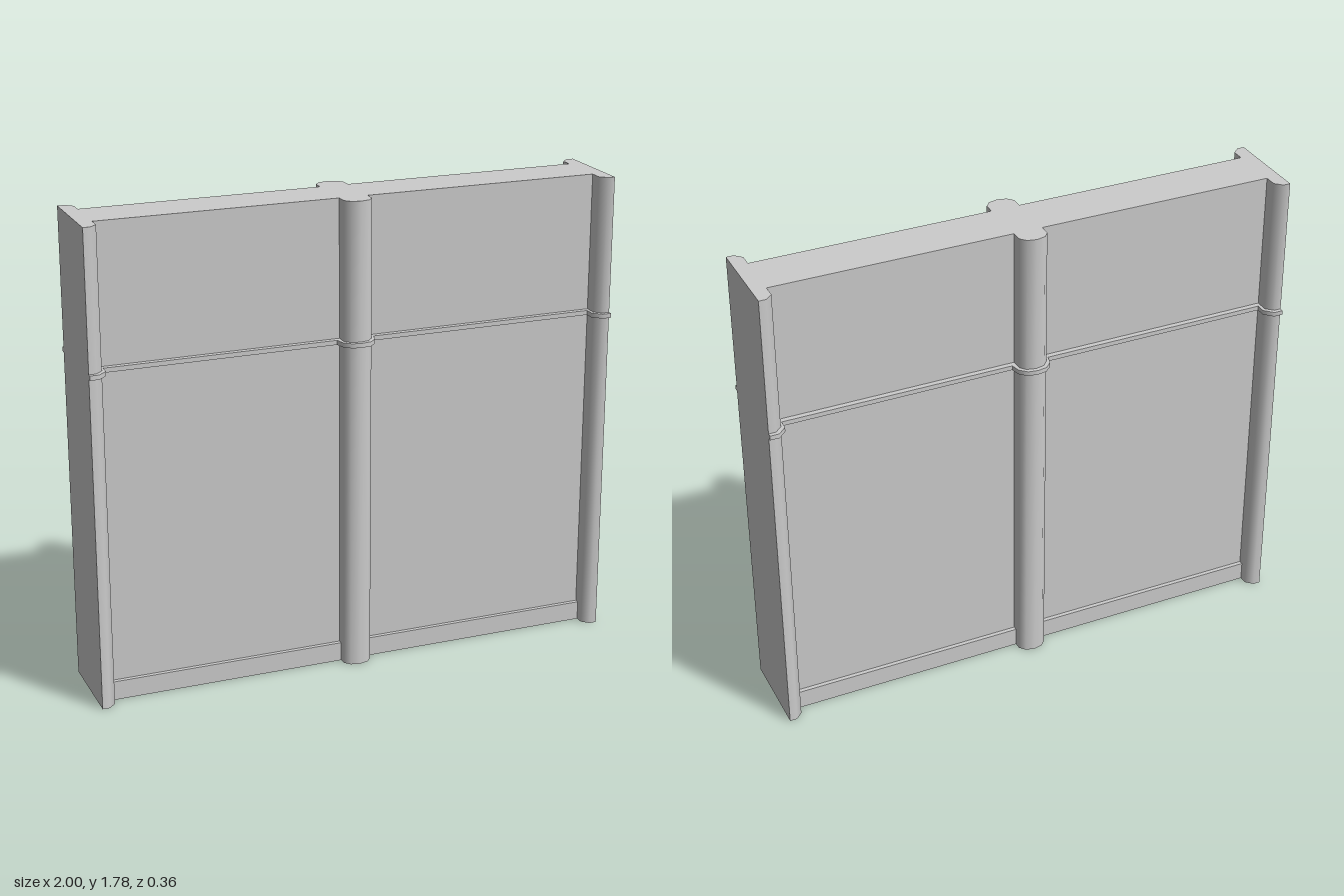
import * as THREE from 'three';
import { toCreasedNormals } from 'three/addons/utils/BufferGeometryUtils.js';

const H = 1.78;       // wall height
const WALL = 0.093;   // half thickness of the recessed panels
const material = new THREE.MeshStandardMaterial({ color: 0xcccccc, side: THREE.DoubleSide });

// Half outlines (x, z), left to right; the centre column is mirrored below
const halfColumn = [[-0.054, WALL], [-0.053, 0.135], [-0.034, 0.157], [0, 0.165]];
const halfColumnRail = [[-0.07, 0.113], [-0.062, 0.148], [-0.036, 0.174], [0, 0.18]];
const pilaster = [[-1, 0.165], [-0.973, 0.165], [-0.947, 0.14], [-0.947, WALL]];
const pilasterRail = [[-1, 0.18], [-0.966, 0.18], [-0.935, 0.149], [-0.935, 0.113]];

const mirror = pts => pts.map(([x, z]) => [-x, z]).reverse();
const whole = half => [...half, ...mirror(half).slice(1)];
const outline = (end, column) => [...end, ...whole(column), ...mirror(end)];

// Surface spanned between two rows of points
function ribbon(a, b) {
  const pos = [];
  for (let i = 0; i < a.length - 1; i++) {
    pos.push(...a[i], ...a[i + 1], ...b[i + 1], ...a[i], ...b[i + 1], ...b[i]);
  }
  const g = new THREE.BufferGeometry();
  g.setAttribute('position', new THREE.Float32BufferAttribute(pos, 3));
  return toCreasedNormals(g, 0.9);
}

const upright = pts => ribbon(pts.map(([x, z]) => [x, 0, z]), pts.map(([x, z]) => [x, H, z]));

function add(parent, name, geometry) {
  const mesh = new THREE.Mesh(geometry, material);
  mesh.name = name;
  parent.add(mesh);
  return mesh;
}

function buildFace(name) {
  const face = new THREE.Group();
  face.name = name;

  // Rounded centre column and chamfered pilasters at both ends
  add(face, 'centreColumn', upright(whole(halfColumn)));
  add(face, 'rightPilaster', upright(pilaster));
  add(face, 'leftPilaster', upright(mirror(pilaster)));

  // Recessed panels with a stepped skirting at the foot
  const section = [[0, 0.109], [0.072, 0.109], [0.072, WALL], [H, WALL]];
  for (const [side, x0, x1] of [['right', -0.947, -0.054], ['left', 0.054, 0.947]]) {
    add(face, side + 'PanelAndSkirting',
      ribbon(section.map(([y, z]) => [x1, y, z]), section.map(([y, z]) => [x0, y, z])));
  }

  // Thin rail that follows the whole face
  const band = [...outline(pilasterRail, halfColumnRail), ...outline(pilaster, halfColumn).reverse()];
  const rail = new THREE.ExtrudeGeometry(
    new THREE.Shape(band.map(([x, z]) => new THREE.Vector2(x, -z))),
    { depth: 0.017, bevelEnabled: false });
  rail.rotateX(-Math.PI / 2).translate(0, 1.249, 0);
  add(face, 'rail', toCreasedNormals(rail, 0.9));
  return face;
}

export function createModel() {
  const model = new THREE.Group();
  model.name = 'wallSegment';

  const front = buildFace('frontFace');
  const back = buildFace('backFace');
  back.rotation.y = Math.PI;
  model.add(front, back);

  // Flat ends
  for (const s of [-1, 1]) {
    const end = add(model, s < 0 ? 'rightEnd' : 'leftEnd', new THREE.PlaneGeometry(0.33, H));
    end.position.set(s, H / 2, 0);
    end.rotation.y = s * Math.PI / 2;
  }

  // Top cap; the underside stays open
  const edge = outline(pilaster, halfColumn);
  const cap = new THREE.ShapeGeometry(new THREE.Shape(
    [...edge, ...edge.map(([x, z]) => [-x, -z])].map(([x, z]) => new THREE.Vector2(x, -z))));
  cap.rotateX(-Math.PI / 2).translate(0, H, 0);
  add(model, 'topCap', cap);
  return model;
}
